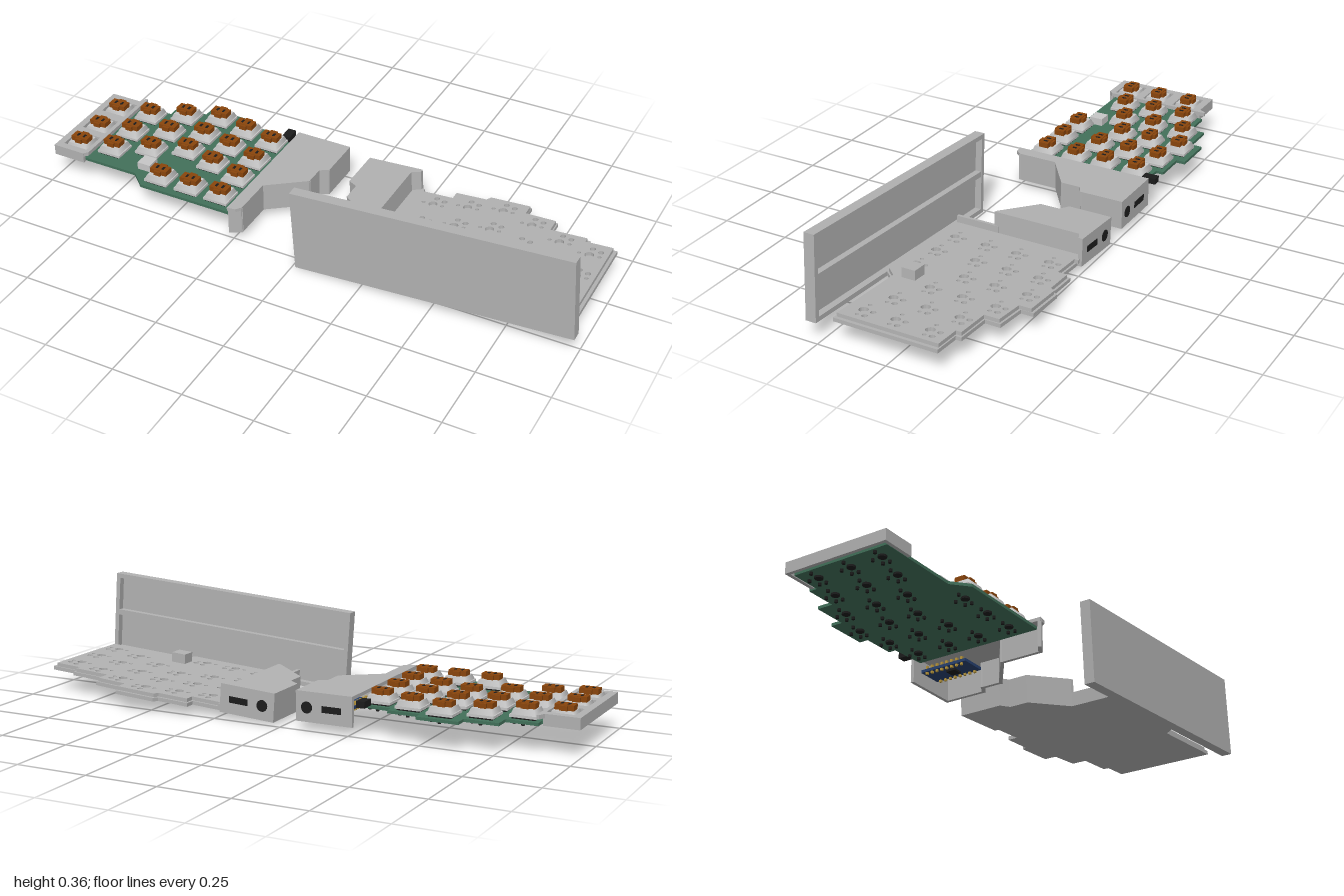
import * as THREE from 'three';

const mat = (name, color) => new THREE.MeshStandardMaterial({ name, color });

export function createModel() {
  const root = new THREE.Group();
  root.name = 'splitKeyboard';
  const grey = mat('caseGrey', 0xb2b2b2);
  const light = mat('switchGrey', 0xc6c6c6);
  const green = mat('boardGreen', 0x42705a);
  const brown = mat('stemBrown', 0x8a450c);
  const black = mat('black', 0x1c1c1c);
  const blue = mat('controllerBlue', 0x27406e);
  const gold = mat('pinGold', 0xb8963c);

  const group = (name, parent = root) => {
    const g = new THREE.Group();
    g.name = name;
    parent.add(g);
    return g;
  };
  const add = (parent, name, geo, m, x = 0, y = 0, z = 0) => {
    const mesh = new THREE.Mesh(geo, m);
    mesh.name = name;
    mesh.position.set(x, y, z);
    parent.add(mesh);
    return mesh;
  };
  const box = (parent, name, m, w, h, d, x, y, z) =>
    add(parent, name, new THREE.BoxGeometry(w, h, d), m, x, y, z);
  // Horizontal slab from an x/z outline between two heights
  const slab = (parent, name, m, pts, y0, y1, holes = []) => {
    const s = new THREE.Shape(pts.map(([x, z]) => new THREE.Vector2(x, z)));
    s.holes = holes;
    const geo = new THREE.ExtrudeGeometry(s, { depth: y1 - y0, bevelEnabled: false, curveSegments: 6 });
    return add(parent, name, geo.rotateX(Math.PI / 2), m, 0, y1, 0);
  };
  // Thin upright walls along an x/z polyline
  const walls = (parent, name, m, pts, y0, y1, t) => {
    for (let i = 0; i < pts.length - 1; i++) {
      const [ax, az] = pts[i], [bx, bz] = pts[i + 1];
      const w = box(parent, name, m, Math.hypot(bx - ax, bz - az) + t, y1 - y0, t,
        (ax + bx) / 2, (y0 + y1) / 2, (az + bz) / 2);
      w.rotation.y = -Math.atan2(bz - az, bx - ax);
    }
  };
  const circleHole = (x, z, r) => new THREE.Path().absarc(x, z, r, 0, Math.PI * 2, true);
  const rectHole = (x, z, w, d) => new THREE.Path([[-1, -1], [-1, 1], [1, 1], [1, -1]]
    .map(([a, b]) => new THREE.Vector2(x + a * w / 2, z + b * d / 2)));
  // Jack and port openings on a rear wall
  const ports = (parent, jackX, slotX, y, z) => {
    add(parent, 'jackOpening', new THREE.CylinderGeometry(0.02, 0.02, 0.006, 16).rotateX(Math.PI / 2),
      black, jackX, y, z);
    box(parent, 'portOpening', black, 0.07, 0.022, 0.006, slotX, y, z);
  };

  // Key columns: distance from the centre, then the row depths
  const columns = [
    [0.928, [-0.094, 0.03, 0.147]],
    [0.813, [-0.125, -0.003, 0.115]],
    [0.693, [-0.18, -0.06, 0.06]],
    [0.572, [-0.222, -0.104, 0.008, 0.19]],
    [0.452, [-0.195, -0.078, 0.04, 0.19]],
    [0.334, [-0.168, -0.045, 0.072, 0.19]],
  ];
  const keys = columns.flatMap(([x, zs]) => zs.map((z) => [x, z]));

  // ---- Assembled half: circuit board ----
  const half = group('assembledHalf');
  slab(half, 'circuitBoard', green, [
    [-0.975, -0.15], [-0.87, -0.15], [-0.87, -0.18], [-0.762, -0.18], [-0.762, -0.237],
    [-0.645, -0.237], [-0.645, -0.28], [-0.5, -0.28], [-0.5, -0.248], [-0.388, -0.248],
    [-0.388, -0.222], [-0.262, -0.215], [-0.262, 0.25], [-0.62, 0.25], [-0.675, 0.2], [-0.975, 0.2],
  ], 0.099, 0.109);

  // ---- Key switches ----
  const taper = new THREE.CylinderGeometry(0.034 * Math.SQRT2, 0.041 * Math.SQRT2, 0.018, 4)
    .rotateY(Math.PI / 4);
  const post = new THREE.CylinderGeometry(0.014, 0.014, 0.008, 10);
  const pin = new THREE.CylinderGeometry(0.006, 0.006, 0.01, 6);
  for (const [kx, z] of keys) {
    const sw = group('keySwitch', half);
    sw.position.set(-kx, 0, z);
    box(sw, 'switchFoot', black, 0.078, 0.006, 0.074, 0, 0.112, 0);
    box(sw, 'switchBase', light, 0.09, 0.009, 0.082, 0, 0.1185, 0);
    add(sw, 'switchHousing', taper, light, 0, 0.132, 0);
    box(sw, 'switchStem', brown, 0.064, 0.018, 0.036, 0, 0.15, 0);
    box(sw, 'stemCentre', brown, 0.026, 0.016, 0.054, 0, 0.149, 0);
    for (const s of [-1, 1]) box(sw, 'stemSlot', black, 0.008, 0.002, 0.016, s * 0.012, 0.159, 0);
    add(sw, 'switchPost', post, black, 0, 0.096, 0);
    for (const [px, pz] of [[-0.035, 0], [0.035, 0], [0, -0.036], [0.033, -0.024]])
      add(sw, 'switchPin', pin, black, px, 0.095, pz);
  }
  box(half, 'boardStandoff', light, 0.05, 0.028, 0.05, -0.655, 0.122, 0.147);

  // ---- Outer end cap with three switch openings ----
  const cap = group('endCap', half);
  const capOutline = [[-1, -0.165], [-0.885, -0.165], [-0.875, -0.19], [-0.866, -0.19],
    [-0.866, 0.2], [-0.88, 0.215], [-1, 0.215]];
  slab(cap, 'capTop', grey, capOutline, 0.123, 0.137,
    columns[0][1].map((z) => rectHole(-0.928, z, 0.094, 0.086)));
  walls(cap, 'capWall', grey, [[-0.885, -0.159], [-0.994, -0.159], [-0.994, 0.209], [-0.885, 0.209]],
    0.098, 0.135, 0.012);

  // ---- Controller cover, open underneath ----
  const cover = group('controllerCover', half);
  const coverOutline = [[-0.265, -0.25], [-0.06, -0.25], [-0.06, -0.09], [-0.09, -0.072],
    [-0.09, 0], [-0.22, 0.097], [-0.22, 0.24], [-0.235, 0.26], [-0.265, 0.265]];
  slab(cover, 'coverTop', grey, coverOutline, 0.127, 0.139);
  walls(cover, 'coverWall', grey, [[-0.259, -0.244], [-0.066, -0.244], [-0.066, -0.094],
    [-0.096, -0.076], [-0.096, -0.004], [-0.226, 0.092], [-0.226, 0.238], [-0.258, 0.257]],
    0.036, 0.135, 0.012);
  ports(cover, -0.1, -0.19, 0.085, -0.249);
  box(cover, 'audioJack', black, 0.03, 0.022, 0.05, -0.3, 0.12, -0.24);

  // Controller board with pin rows
  const controller = group('controller', half);
  box(controller, 'controllerBoard', blue, 0.09, 0.01, 0.18, -0.19, 0.082, -0.14);
  box(controller, 'controllerChip', black, 0.035, 0.008, 0.035, -0.19, 0.074, -0.13);
  for (const x of [-0.228, -0.152])
    for (let i = 0; i < 8; i++)
      box(controller, 'controllerPin', gold, 0.008, 0.03, 0.008, x, 0.084, -0.21 + i * 0.02);

  // ---- Empty tilted half: tray with pin holes ----
  const tray = group('tiltedTray');
  tray.position.set(0, 0.0163, 0);
  tray.rotation.z = 0.068;
  const trayOutline = [[0.19, -0.25], [0.23, -0.25], [0.23, -0.235], [0.345, -0.235], [0.345, -0.27],
    [0.46, -0.272], [0.47, -0.29], [0.62, -0.29], [0.62, -0.245], [0.735, -0.24], [0.735, -0.185],
    [0.87, -0.185], [0.87, -0.165], [0.97, -0.165], [0.97, 0.21], [0.655, 0.21], [0.62, 0.25], [0.19, 0.25]];
  slab(tray, 'trayBase', grey, trayOutline, 0, 0.013);
  const inset = trayOutline.map(([x, z]) => [0.58 + (x - 0.58) * 0.97, z * 0.97]);
  const pinHoles = keys.flatMap(([kx, z]) => [[0, 0, 0.016], [-0.035, 0, 0.007], [0.035, 0, 0.007],
    [0, -0.035, 0.01], [0.032, -0.026, 0.01]]
    .map(([dx, dz, r]) => circleHole(kx - 0.03 + dx, z + dz, r)));
  slab(tray, 'trayDeck', grey, inset, 0.012, 0.026, pinHoles);
  box(tray, 'trayStandoff', grey, 0.055, 0.036, 0.05, 0.625, 0.043, 0.147);

  // Controller block of the tray
  slab(tray, 'controllerBlock', grey, [[0.025, -0.25], [0.23, -0.25], [0.23, -0.235], [0.2, -0.22],
    [0.2, 0.1], [0.19, 0.097], [0.06, 0], [0.06, -0.07], [0.025, -0.09]], 0, 0.1);
  walls(tray, 'trayInnerWall', grey, [[0.196, 0.09], [0.196, 0.24]], 0, 0.05, 0.012);
  ports(tray, 0.07, 0.16, 0.05, -0.249);

  // ---- Upright lid with two shallow compartments at the back ----
  const lid = group('uprightLid');
  lid.position.set(0.491, 0.187, 0.276);
  lid.rotation.z = 0.068;
  box(lid, 'lidFace', grey, 0.982, 0.296, 0.014, 0, 0, 0.012);
  for (const s of [-1, 1]) {
    box(lid, 'lidLongRim', grey, 0.982, 0.016, 0.03, 0, s * 0.14, -0.004);
    box(lid, 'lidShortRim', grey, 0.016, 0.27, 0.03, s * 0.483, 0, -0.004);
  }
  box(lid, 'lidDivider', grey, 0.955, 0.02, 0.028, 0, 0, -0.003);

  return root;
}
